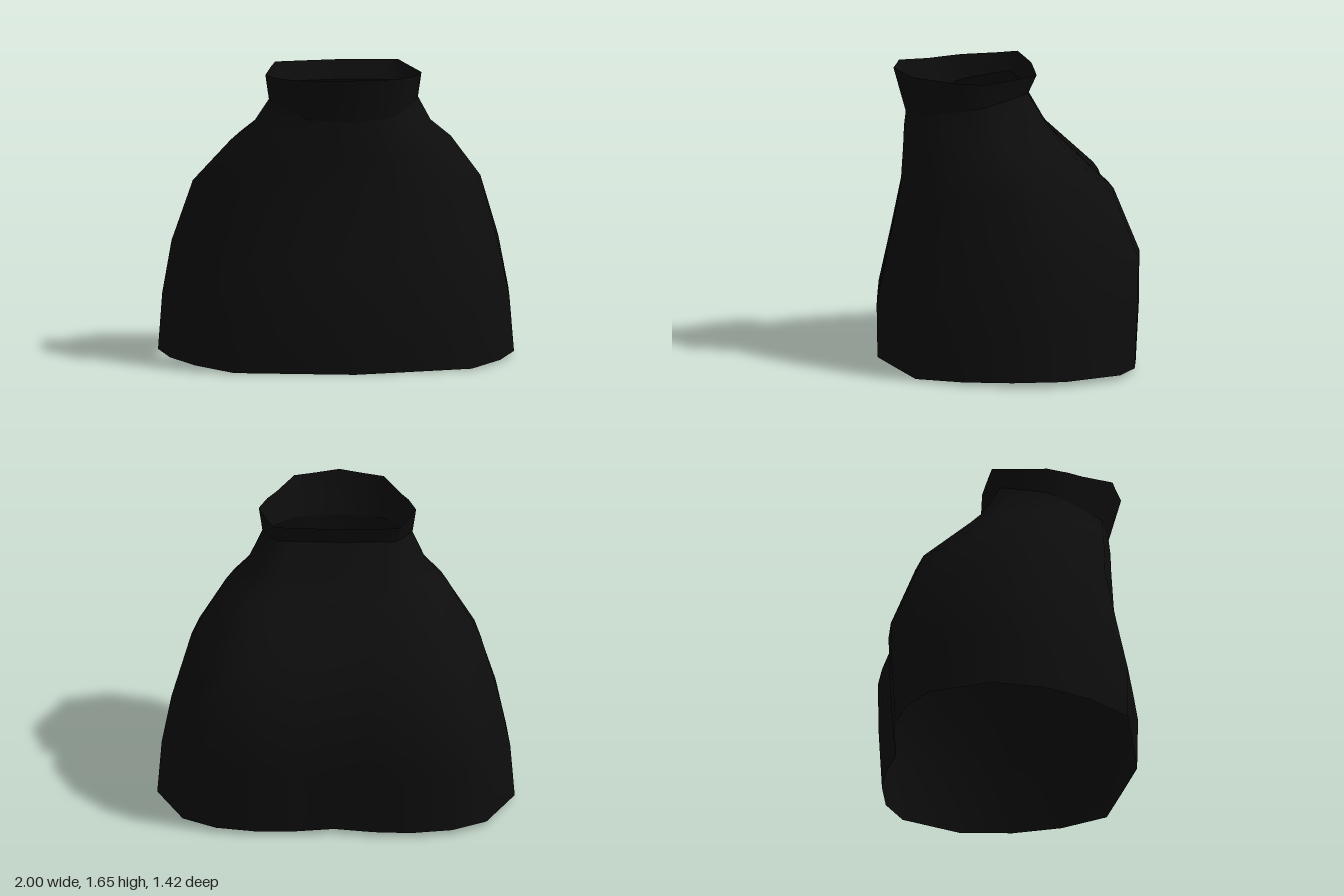
import * as THREE from 'three';

// Half outlines from back centre to front centre: [share of half width, share of depth from the back]
const hemShape = [[0, .03], [.22, .005], [.43, 0], [.66, .03], [.85, .11], [1, .35], [.97, .56], [.86, .75], [.67, .92], [.3, .965], [0, 1]];
const waistShape = [[0, 0], [.3, .01], [.55, .02], [.79, .03], [.87, .16], [1, .42], [.9, .58], [.79, .68], [.57, .91], [.3, .95], [0, 1]];

// Rings from hem to rim: half width, front z, back z, front y, back y, blend to waist shape, side lift
const rings = [
  [1.0, .71, -.685, 0, .025, 0, .015],
  [.975, .715, -.705, .3, .37, 0, 0],
  [.92, .65, -.712, .62, .65, .1, 0],
  [.81, .58, -.575, .97, 1.0, .3, 0],
  [.62, .565, -.29, 1.2, 1.27, .6, 0],
  [.5, .56, -.22, 1.32, 1.36, .8, 0],
  [.42, .55, -.11, 1.4, 1.55, 1, 0],
  [.44, .62, -.16, 1.65, 1.655, 1, -.03],
];

// Mirrors the blended half outline into a closed ring of points
function ringPoints([w, front, back, yFront, yBack, blend, lift]) {
  const { lerp } = THREE.MathUtils;
  const half = hemShape.map(([hx, hu], i) => {
    const x = w * lerp(hx, waistShape[i][0], blend);
    const u = lerp(hu, waistShape[i][1], blend);
    return [x, lerp(yBack, yFront, u) + lift * Math.sin(Math.PI * u), lerp(back, front, u)];
  });
  const mirrored = half.slice(1, -1).reverse().map(([x, y, z]) => [-x, y, z]);
  return [...half, ...mirrored];
}

// Open smooth tube through all the rings
function loft(ringList) {
  const n = ringList[0].length;
  const index = [];
  for (let r = 0; r < ringList.length - 1; r++) {
    for (let i = 0; i < n; i++) {
      const a = r * n + i, b = r * n + (i + 1) % n;
      index.push(a, a + n, b, b, a + n, b + n);
    }
  }
  const geometry = new THREE.BufferGeometry();
  geometry.setAttribute('position', new THREE.Float32BufferAttribute(ringList.flat(2), 3));
  geometry.setIndex(index);
  geometry.computeVertexNormals();
  return geometry;
}

export function createModel() {
  const group = new THREE.Group();
  group.name = 'skirt';
  const blackCloth = new THREE.MeshStandardMaterial({ color: 0x0d0d0d, side: THREE.DoubleSide });
  blackCloth.name = 'black cloth';

  const points = rings.map(ringPoints);

  // Flaring body from hem to waist
  const body = new THREE.Mesh(loft(points.slice(0, 7)), blackCloth);
  body.name = 'skirtBody';

  // Waistband flaring outward above the waist
  const band = new THREE.Mesh(loft(points.slice(6)), blackCloth);
  band.name = 'waistband';

  group.add(body, band);
  return group;
}
